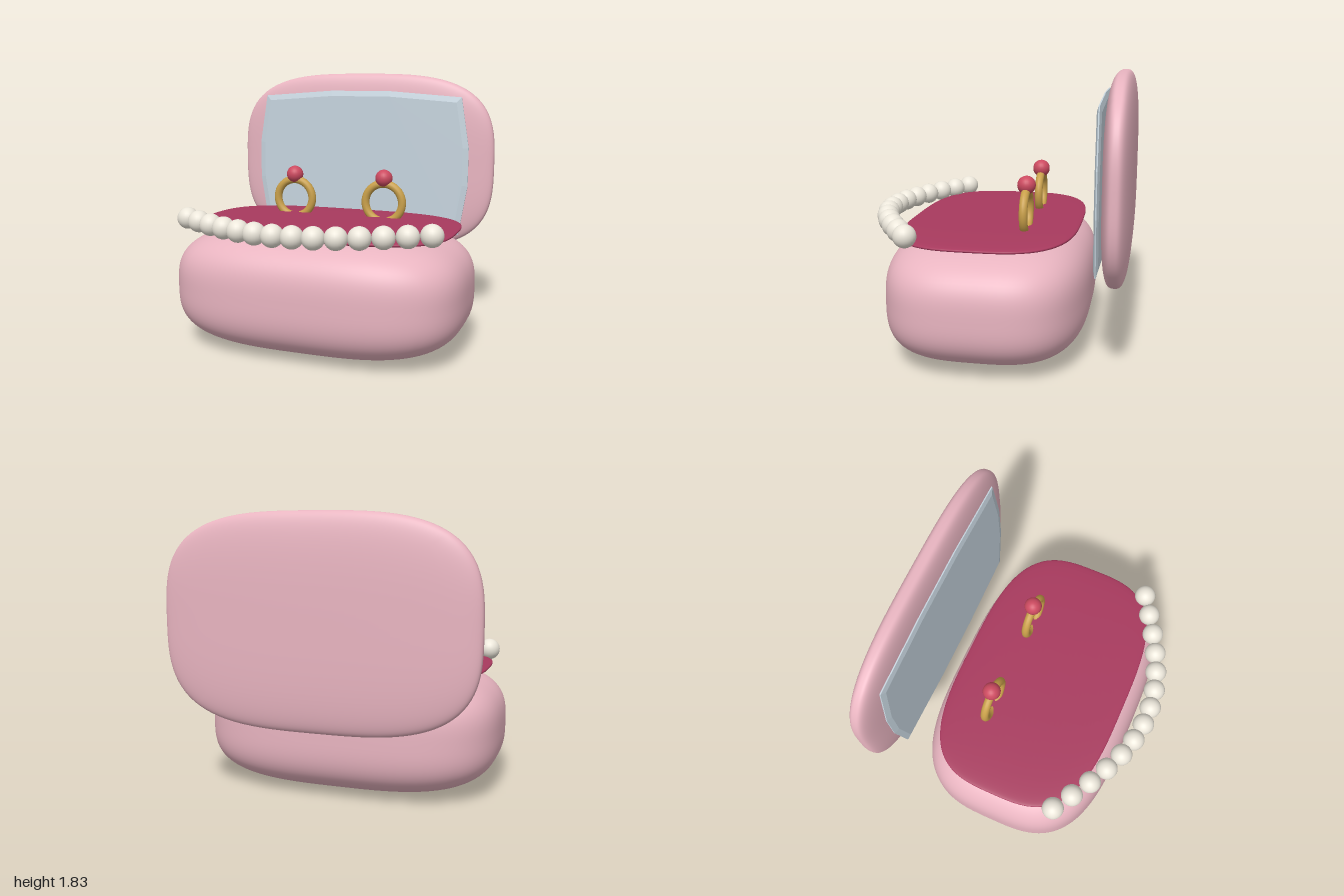
import * as THREE from 'three';
import { mergeVertices } from 'three/addons/utils/BufferGeometryUtils.js';

const mat = (color) => new THREE.MeshStandardMaterial({ color });

// Rounded cushion: a subdivided cube projected onto a superellipsoid
function cushionGeometry(hx, hy, hz, n = 3.2) {
  let geo = new THREE.BoxGeometry(2, 2, 2, 28, 28, 28);
  geo.deleteAttribute('uv');
  geo.deleteAttribute('normal');
  geo = mergeVertices(geo);
  const p = geo.attributes.position;
  const v = new THREE.Vector3();
  for (let i = 0; i < p.count; i++) {
    v.fromBufferAttribute(p, i);
    const r = Math.pow(Math.abs(v.x) ** n + Math.abs(v.y) ** n + Math.abs(v.z) ** n, 1 / n);
    p.setXYZ(i, (v.x / r) * hx, (v.y / r) * hy, (v.z / r) * hz);
  }
  geo.computeVertexNormals();
  return geo;
}

export function createModel() {
  const group = new THREE.Group();
  const pink = mat(0xe8b4c0);
  const berry = mat(0xa83a5e);
  const gold = mat(0xc9a04a);
  const ruby = mat(0xcc4a60);
  const pearl = mat(0xebe6da);
  const glass = mat(0xc6d4de);

  const add = (name, geometry, material, x, y, z, parent = group) => {
    const mesh = new THREE.Mesh(geometry, material);
    mesh.name = name;
    mesh.position.set(x, y, z);
    parent.add(mesh);
    return mesh;
  };

  // Box body, inner pad and upright lid
  add('boxBody', cushionGeometry(1, 0.41, 0.665), pink, 0, 0.415, 0.053);
  add('velvetPad', cushionGeometry(0.905, 0.026, 0.578), berry, 0, 0.822, 0.05);
  add('lid', cushionGeometry(1, 0.665, 0.095), pink, 0, 1.173, -0.782);

  // Mirror: a twelve-cornered plate with a thin bevelled rim
  const corners = [];
  const quarter = [[0.83, 0.14], [0.77, 0.505], [0.23, 0.545]];
  for (const [x, y] of quarter) corners.push([x, y]);
  for (const [x, y] of [...quarter].reverse()) corners.push([-x, y]);
  for (const [x, y] of quarter) corners.push([-x, -y]);
  for (const [x, y] of [...quarter].reverse()) corners.push([x, -y]);
  const outline = new THREE.Shape(corners.map(([x, y]) => new THREE.Vector2(x, y)));
  const plate = new THREE.ExtrudeGeometry(outline, {
    depth: 0.008, bevelThickness: 0.011, bevelSize: 0.04, bevelOffset: -0.04, bevelSegments: 1,
  });
  add('mirror', plate, glass, 0, 1.165, -0.679);

  // Two rings standing in the pad, each topped by a gem
  for (const side of [-1, 1]) {
    const ring = new THREE.Group();
    ring.name = side > 0 ? 'leftRing' : 'rightRing';
    ring.position.set(side * 0.335, 0, -0.195);
    add('band', new THREE.TorusGeometry(0.133, 0.028, 16, 48), gold, 0, 0.95, 0, ring);
    add('gem', new THREE.SphereGeometry(0.06, 24, 16), ruby, 0, 1.122, 0, ring);
    group.add(ring);
  }

  // Pearl necklace draped in a curve over the front edge
  const necklace = new THREE.Group();
  necklace.name = 'necklace';
  const bead = new THREE.SphereGeometry(0.073, 24, 16);
  for (let i = 0; i < 14; i++) {
    const t = i / 13;
    add('pearl', bead, pearl, -0.837 + 1.674 * t, 0.88, 0.465 + 0.338 * Math.sin(Math.PI * t), necklace);
  }
  group.add(necklace);

  return group;
}
